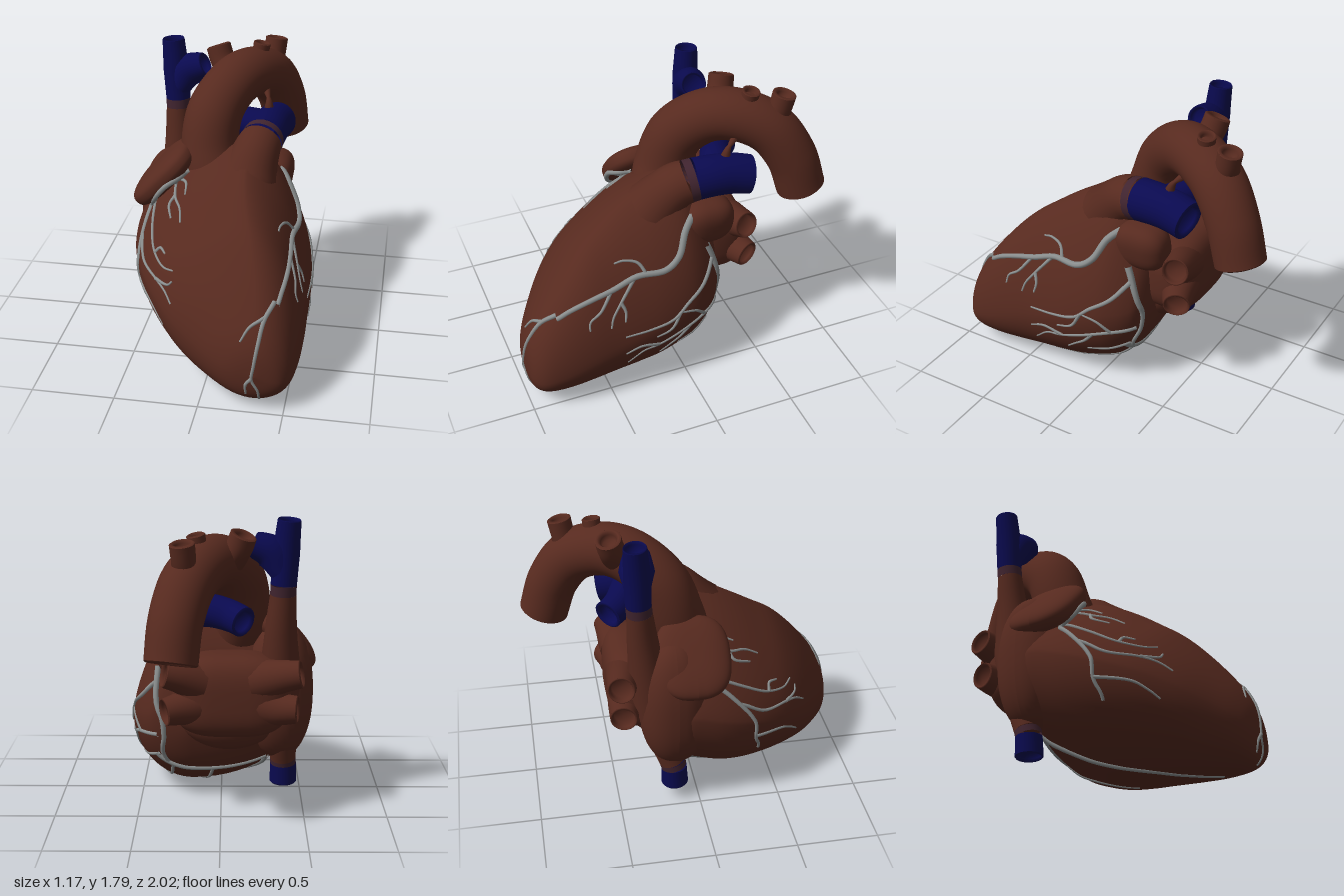
import * as THREE from 'three';

const V = (p) => new THREE.Vector3(...p);
const material = (name, color) => {
  const m = new THREE.MeshStandardMaterial({ color, side: THREE.DoubleSide });
  m.name = name;
  return m;
};

export function createModel() {
  const model = new THREE.Group();
  const muscle = material('muscle brown', 0x572a1f);
  const blue = material('vein blue', 0x0a0a50);
  const band = material('blend purple', 0x40242f);
  const grey = material('coronary grey', 0x8a8e8e);

  const add = (name, geo, mat) => {
    const mesh = new THREE.Mesh(geo, mat);
    mesh.name = name;
    model.add(mesh);
    return mesh;
  };

  // Tube whose radius follows a list of radii; depth adds a thick lip and a hollow at the open end
  const vessel = (name, pts, radii, mat, { sides = 24, depth = 0, steps = 32, wall = 0.3 } = {}) => {
    const curve = new THREE.CatmullRomCurve3(pts.map((p) => (p.isVector3 ? p : V(p))));
    const geo = new THREE.TubeGeometry(curve, steps, 1, sides);
    const pos = geo.attributes.position, v = new THREE.Vector3();
    for (let i = 0; i <= steps; i++) {
      const c = curve.getPointAt(i / steps);
      const f = (i / steps) * (radii.length - 1), k = Math.min(Math.floor(f), radii.length - 2);
      const r = THREE.MathUtils.lerp(radii[k], radii[k + 1], f - k);
      for (let j = 0; j <= sides; j++) {
        const n = i * (sides + 1) + j;
        v.fromBufferAttribute(pos, n).sub(c).multiplyScalar(r).add(c);
        pos.setXYZ(n, v.x, v.y, v.z);
      }
    }
    if (depth) {
      const r = radii[radii.length - 1], inner = r * (1 - wall);
      const profile = [[0, -depth], [inner * 0.95, -depth], [inner, -0.012], [(r + inner) / 2, 0.008], [r, 0]];
      const lip = new THREE.LatheGeometry(profile.map(([x, y]) => new THREE.Vector2(x, y)), sides);
      lip.applyQuaternion(new THREE.Quaternion().setFromUnitVectors(V([0, 1, 0]), curve.getTangentAt(1)));
      lip.translate(...curve.getPointAt(1).toArray());
      add(name + 'Opening', lip, mat);
    }
    return add(name, geo, mat);
  };

  // Rounded chamber: sphere pushed toward a box when power < 1
  const chamber = (name, centre, radii, mat, { tilt = 0, power = 1 } = {}) => {
    const geo = new THREE.SphereGeometry(1, 40, 28);
    const pos = geo.attributes.position;
    const bulge = (x) => Math.sign(x) * Math.abs(x) ** power;
    for (let i = 0; i < pos.count; i++) pos.setXYZ(i, bulge(pos.getX(i)), bulge(pos.getY(i)), bulge(pos.getZ(i)));
    geo.scale(...radii).rotateZ(tilt).translate(...centre);
    geo.computeVertexNormals();
    return add(name, geo, mat);
  };

  // Ventricles: sections from apex to base as [z, left x, right x, bottom y, top y]
  const sections = [
    [1, 0.33, 0.33, 0.25, 0.25], [0.985, 0.2, 0.44, 0.14, 0.37], [0.95, 0.1, 0.5, 0.075, 0.47],
    [0.88, -0.02, 0.54, 0.04, 0.59], [0.75, -0.2, 0.565, 0.02, 0.76], [0.6, -0.34, 0.575, 0.012, 0.92],
    [0.45, -0.44, 0.575, 0.01, 1.03], [0.3, -0.51, 0.575, 0.01, 1.13], [0.15, -0.55, 0.57, 0.025, 1.21],
    [0, -0.56, 0.55, 0.07, 1.26], [-0.1, -0.55, 0.52, 0.12, 1.23], [-0.2, -0.5, 0.46, 0.23, 1.1],
    [-0.26, -0.38, 0.38, 0.36, 0.97], [-0.3, -0.1, 0.2, 0.52, 0.8], [-0.3, 0.05, 0.05, 0.65, 0.65],
  ];
  const xs = new THREE.CatmullRomCurve3(sections.map((s) => V([s[1], s[2], s[0]])), false, 'catmullrom');
  const ys = new THREE.CatmullRomCurve3(sections.map((s) => V([s[3], s[4], s[0]])), false, 'catmullrom');
  const rows = 70, cols = 64, verts = [], faces = [];
  for (let i = 0; i <= rows; i++) {
    const { x: x0, y: x1, z } = xs.getPoint(i / rows);
    const { x: y0, y: y1 } = ys.getPoint(i / rows);
    const w = THREE.MathUtils.smoothstep(z, 0.2, 1);
    const topX = THREE.MathUtils.clamp(0.15 + 0.18 * w, x0, x1), lowX = THREE.MathUtils.clamp(0.18 + 0.14 * w, x0, x1);
    for (let j = 0; j < cols; j++) {
      const a = (j / cols) * Math.PI * 2;
      // the upper half narrows to a ridge toward the base
      const power = Math.sin(a) > 0 ? 2 / (1.5 + 0.35 * w) : 1;
      const c = Math.sign(Math.cos(a)) * Math.abs(Math.cos(a)) ** power;
      const s = Math.sign(Math.sin(a)) * Math.abs(Math.sin(a)) ** power;
      const midX = s > 0 ? topX : lowX;
      const midY = y0 + (y1 - y0) * (c > 0 ? 0.36 - 0.03 * w : 0.5);
      verts.push(midX + c * (c > 0 ? x1 - midX : midX - x0), midY + s * (s > 0 ? y1 - midY : midY - y0), z);
      if (i < rows) {
        const p = i * cols + j, q = i * cols + ((j + 1) % cols);
        faces.push(p, p + cols, q, q, p + cols, q + cols);
      }
    }
  }
  const bodyGeo = new THREE.BufferGeometry();
  bodyGeo.setAttribute('position', new THREE.Float32BufferAttribute(verts, 3));
  bodyGeo.setIndex(faces);
  bodyGeo.computeVertexNormals();
  const body = add('ventricles', bodyGeo, muscle);

  // Atria and their ear-shaped flaps
  const rightAtrium = chamber('rightAtrium', [-0.355, 0.7, -0.14], [0.21, 0.43, 0.22], muscle, { power: 0.9 });
  const rightFlap = chamber('rightAuricle', [-0.39, 1.02, -0.03], [0.255, 0.085, 0.225], muscle, { tilt: 0.82, power: 0.75 });
  chamber('leftAtrium', [-0.06, 0.735, -0.34], [0.355, 0.255, 0.195], muscle, { power: 0.65 });
  chamber('leftAtriumFloor', [-0.05, 0.56, -0.26], [0.3, 0.2, 0.16], muscle);
  chamber('leftAuricle', [0.275, 0.975, -0.22], [0.12, 0.15, 0.17], muscle, { power: 0.75, tilt: -0.15 });

  // Pulmonary veins, two on each side
  [
    ['leftUpperVein', [[0.12, 0.83, -0.41], [0.25, 0.87, -0.45], [0.33, 0.89, -0.47]]],
    ['leftLowerVein', [[0.12, 0.69, -0.4], [0.25, 0.67, -0.45], [0.33, 0.66, -0.485]]],
    ['rightUpperVein', [[-0.2, 0.83, -0.41], [-0.36, 0.87, -0.45], [-0.47, 0.89, -0.47]]],
    ['rightLowerVein', [[-0.2, 0.7, -0.4], [-0.34, 0.67, -0.44], [-0.45, 0.67, -0.46]]],
  ].forEach(([name, pts]) => vessel(name, pts, [0.13, 0.115, 0.095, 0.082], muscle, { depth: 0.05, wall: 0.2 }));

  // Pulmonary trunk and its two branches
  const trunk = vessel('pulmonaryTrunk',
    [[0.14, 0.82, 0.25], [0.14, 0.95, 0.16], [0.15, 1.07, 0.06], [0.185, 1.2, -0.06], [0.2, 1.225, -0.125]],
    [0.08, 0.17, 0.19, 0.155, 0.132], muscle);
  vessel('trunkBand', [[0.2, 1.225, -0.12], [0.208, 1.235, -0.17]], [0.133, 0.131], band, { steps: 4 });
  vessel('leftPulmonaryArtery', [[0.207, 1.234, -0.165], [0.222, 1.242, -0.28], [0.235, 1.235, -0.4], [0.255, 1.215, -0.51]],
    [0.131, 0.128, 0.125, 0.12], blue, { depth: 0.06 });
  vessel('rightPulmonaryArtery', [[0.22, 1.24, -0.32], [0.06, 1.25, -0.37], [-0.06, 1.23, -0.43], [-0.13, 1.21, -0.5]],
    [0.11, 0.1, 0.095, 0.09], blue, { depth: 0.06 });
  vessel('arterialLigament', [[0.215, 1.34, -0.36], [0.21, 1.4, -0.38], [0.18, 1.47, -0.45]], [0.035, 0.013, 0.03], muscle, { sides: 10 });

  // Aorta with three arch branches
  vessel('aorta', [[-0.05, 0.95, -0.02], [-0.115, 1.15, -0.09], [-0.1, 1.38, -0.175], [-0.01, 1.52, -0.33], [0.08, 1.545, -0.48],
    [0.18, 1.47, -0.66], [0.245, 1.28, -0.79], [0.27, 1.06, -0.86]],
    [0.17, 0.18, 0.175, 0.165, 0.16, 0.16, 0.155, 0.152], muscle, { sides: 36, steps: 60, depth: 0.03, wall: 0.12 });
  vessel('firstArchBranch', [[-0.04, 1.55, -0.42], [-0.1, 1.63, -0.46], [-0.13, 1.71, -0.48]], [0.1, 0.08, 0.078], muscle, { depth: 0.05, wall: 0.4 });
  vessel('secondArchBranch', [[0.11, 1.62, -0.53], [0.13, 1.67, -0.545], [0.14, 1.72, -0.55]], [0.07, 0.052, 0.055], muscle, { depth: 0.05, wall: 0.4 });
  vessel('thirdArchBranch', [[0.185, 1.52, -0.69], [0.2, 1.6, -0.715], [0.21, 1.7, -0.735]], [0.1, 0.07, 0.072], muscle, { depth: 0.05, wall: 0.4 });

  // Great veins: brown near the atrium, blue toward the ends
  vessel('venaCava', [[-0.365, 1.34, -0.34], [-0.355, 1.1, -0.32], [-0.36, 0.7, -0.27], [-0.375, 0.4, -0.2], [-0.385, 0.27, -0.16]],
    [0.077, 0.1, 0.13, 0.1, 0.08], muscle);
  vessel('upperVeinBand', [[-0.365, 1.34, -0.34], [-0.367, 1.4, -0.345]], [0.077, 0.077], band, { steps: 4 });
  vessel('upperVein', [[-0.367, 1.4, -0.345], [-0.38, 1.6, -0.35], [-0.395, 1.78, -0.36]], [0.077, 0.08, 0.069], blue, { depth: 0.07, wall: 0.15 });
  vessel('upperVeinBranch', [[-0.36, 1.47, -0.345], [-0.29, 1.59, -0.34], [-0.19, 1.635, -0.325]], [0.07, 0.105, 0.078], blue, { depth: 0.05, wall: 0.2 });
  vessel('lowerVeinBand', [[-0.385, 0.27, -0.16], [-0.387, 0.23, -0.15]], [0.08, 0.08], band, { steps: 4 });
  vessel('lowerVein', [[-0.387, 0.23, -0.15], [-0.387, 0.11, -0.145]], [0.08, 0.084], blue, { steps: 8, depth: 0.05, wall: 0.15 });

  // Coronary vessels: flat paths projected onto the heart from one side
  const targets = [body, trunk, rightAtrium, rightFlap];
  targets.forEach((m) => m.updateMatrixWorld());
  const project = {
    side: ([z, y]) => [[3, y, z], [-1, 0, 0]],
    front: ([x, y]) => [[x, y, 3], [0, 0, -1]],
    below: ([x, z]) => [[x, -3, z], [0, 1, 0]],
  };
  const coronary = (name, from, thick, thin, path) => {
    const flat = new THREE.CatmullRomCurve3(path.map(([a, b]) => V([a, b, 0])));
    const count = Math.max(5, path.length * 4), pts = [];
    for (let i = 0; i <= count; i++) {
      const p = flat.getPoint(i / count);
      const [origin, dir] = project[from]([p.x, p.y]);
      const hit = new THREE.Raycaster(V(origin), V(dir)).intersectObjects(targets, false)[0];
      if (hit) pts.push(hit.point);
    }
    if (pts.length > 2) vessel(name, pts, [thick, thin], grey, { sides: 8, steps: count * 2 });
  };
  const twig = (from, path) => coronary('coronaryTwig', from, 0.012, 0.006, path);

  coronary('frontCoronary', 'side', 0.024, 0.015, [[-0.14, 1.09], [-0.04, 1.01], [0.03, 0.88], [0.12, 0.82], [0.3, 0.81],
    [0.45, 0.76], [0.6, 0.72], [0.72, 0.67], [0.8, 0.62]]);
  coronary('frontCoronaryEnd', 'front', 0.015, 0.007, [[0.415, 0.64], [0.37, 0.57], [0.345, 0.45], [0.325, 0.32], [0.315, 0.23], [0.35, 0.15], [0.355, 0.07]]);
  coronary('sideCoronary', 'side', 0.022, 0.013, [[-0.18, 0.86], [-0.21, 0.78], [-0.245, 0.66], [-0.265, 0.55], [-0.25, 0.42], [-0.2, 0.3], [-0.17, 0.22]]);
  coronary('sideBranch', 'side', 0.016, 0.006, [[-0.21, 0.77], [-0.12, 0.66], [0, 0.58], [0.1, 0.5], [0.25, 0.47], [0.42, 0.46]]);
  coronary('lowerSideBranch', 'side', 0.014, 0.005, [[-0.24, 0.44], [-0.1, 0.42], [0.08, 0.36], [0.22, 0.32], [0.3, 0.31], [0.4, 0.23]]);
  [
    [[0.24, 0.81], [0.28, 0.88], [0.36, 0.9], [0.42, 0.89]],
    [[0.32, 0.8], [0.42, 0.68], [0.48, 0.6], [0.5, 0.54]],
    [[0.47, 0.75], [0.55, 0.65], [0.62, 0.6], [0.63, 0.55]],
    [[0.42, 0.68], [0.4, 0.62], [0.41, 0.56]],
    [[0.06, 0.53], [0.12, 0.43], [0.22, 0.4]],
    [[-0.13, 0.42], [-0.05, 0.5], [0.05, 0.53]],
    [[-0.02, 0.4], [0.05, 0.32], [0.12, 0.27], [0.18, 0.22]],
    [[0.2, 0.33], [0.32, 0.36], [0.42, 0.33]],
    [[-0.19, 0.3], [-0.08, 0.26], [0.05, 0.24]],
  ].forEach((path) => twig('side', path));

  coronary('rightCoronary', 'front', 0.019, 0.01, [[-0.22, 1.08], [-0.33, 1.03], [-0.42, 0.92], [-0.47, 0.78], [-0.49, 0.62], [-0.48, 0.46], [-0.42, 0.33]]);
  [
    [[-0.3, 1.05], [-0.28, 0.97], [-0.23, 0.94], [-0.21, 0.89]],
    [[-0.28, 0.97], [-0.31, 0.92], [-0.28, 0.88]],
    [[-0.28, 1.03], [-0.22, 1.04], [-0.21, 1.0]],
    [[-0.43, 0.9], [-0.41, 0.79], [-0.37, 0.71], [-0.29, 0.67], [-0.21, 0.68]],
    [[-0.36, 0.7], [-0.32, 0.74], [-0.28, 0.73]],
    [[-0.48, 0.71], [-0.44, 0.62], [-0.33, 0.59], [-0.26, 0.56], [-0.21, 0.51]],
    [[-0.33, 0.59], [-0.24, 0.6], [-0.21, 0.63]],
    [[-0.48, 0.46], [-0.38, 0.43], [-0.32, 0.38], [-0.27, 0.33]],
    [[0.37, 0.58], [0.29, 0.53], [0.24, 0.45]],
    [[0.315, 0.24], [0.28, 0.19], [0.28, 0.12]],
  ].forEach((path) => twig('front', path));

  coronary('lowerCoronary', 'below', 0.018, 0.008, [[-0.28, -0.13], [-0.22, 0.02], [-0.13, 0.2], [0, 0.4], [0.15, 0.58], [0.3, 0.76]]);
  coronary('lowerCrossVessel', 'below', 0.018, 0.012, [[0.4, -0.17], [0.25, -0.18], [0.05, -0.17], [-0.15, -0.15], [-0.28, -0.13]]);
  twig('below', [[0.3, -0.17], [0.33, 0.05], [0.38, 0.2], [0.4, 0.36]]);
  twig('below', [[0.05, -0.17], [0.12, 0.08], [0.2, 0.25]]);
  return model;
}
